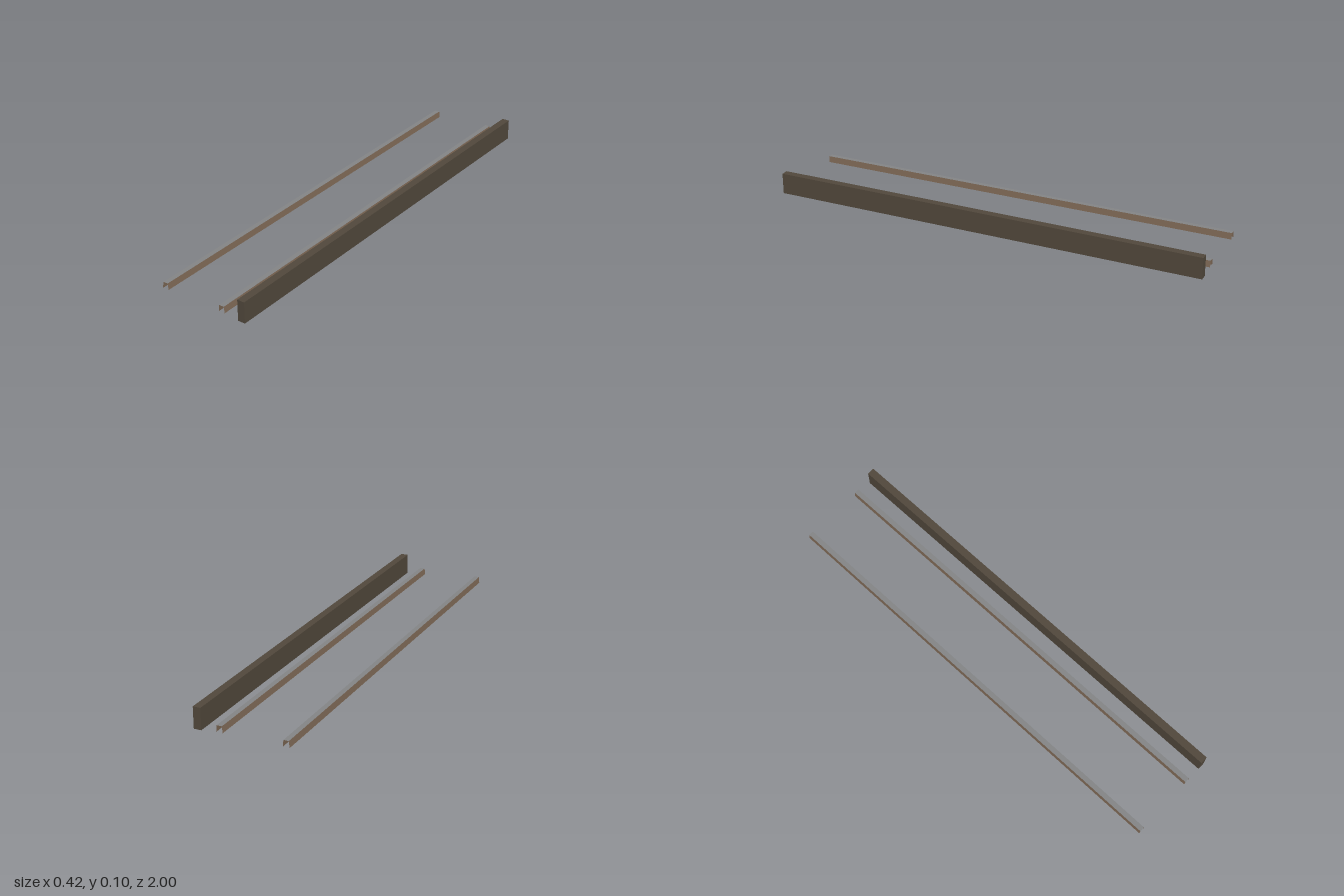
import * as THREE from 'three';

const LENGTH = 2;
const RAIL = { bottomHalf: 0.0145, topHalf: 0.0115, low: 0.008, high: 0.037 };

// Open strip running along z between two profile points [x, y]
function strip([x0, y0], [x1, y1]) {
  const h = LENGTH / 2;
  const geo = new THREE.BufferGeometry();
  geo.setAttribute('position', new THREE.Float32BufferAttribute(
    [x0, y0, h, x1, y1, h, x1, y1, -h, x0, y0, -h], 3));
  geo.setIndex([0, 1, 2, 0, 2, 3]);
  geo.computeVertexNormals();
  return geo;
}

function mesh(name, geometry, material) {
  const m = new THREE.Mesh(geometry, material);
  m.name = name;
  return m;
}

export function createModel() {
  const darkWood = new THREE.MeshStandardMaterial({ color: 0x50473b });
  darkWood.name = 'darkWood';
  const brown = new THREE.MeshStandardMaterial({ color: 0x7d6855, side: THREE.DoubleSide });
  brown.name = 'brown';
  const grey = new THREE.MeshStandardMaterial({ color: 0x828384, side: THREE.DoubleSide });
  grey.name = 'grey';

  const model = new THREE.Group();
  model.name = 'railsAndBeam';

  // Solid beam along the left edge
  const beam = mesh('beam', new THREE.BoxGeometry(0.034, 0.096, LENGTH), darkWood);
  beam.position.set(0.194, 0.048, 0);
  model.add(beam);

  // Two thin channel rails, open below and at both ends
  const { bottomHalf: b, topHalf: t, low, high } = RAIL;
  for (const [name, x] of [['rightRail', -0.1965], ['leftRail', 0.095]]) {
    const rail = new THREE.Group();
    rail.name = name;
    rail.position.x = x;
    rail.add(
      mesh('railTop', strip([-t, high], [t, high]), grey),
      mesh('railRightSide', strip([-b, low], [-t, high]), brown),
      mesh('railLeftSide', strip([t, high], [b, low]), brown),
    );
    model.add(rail);
  }
  return model;
}
